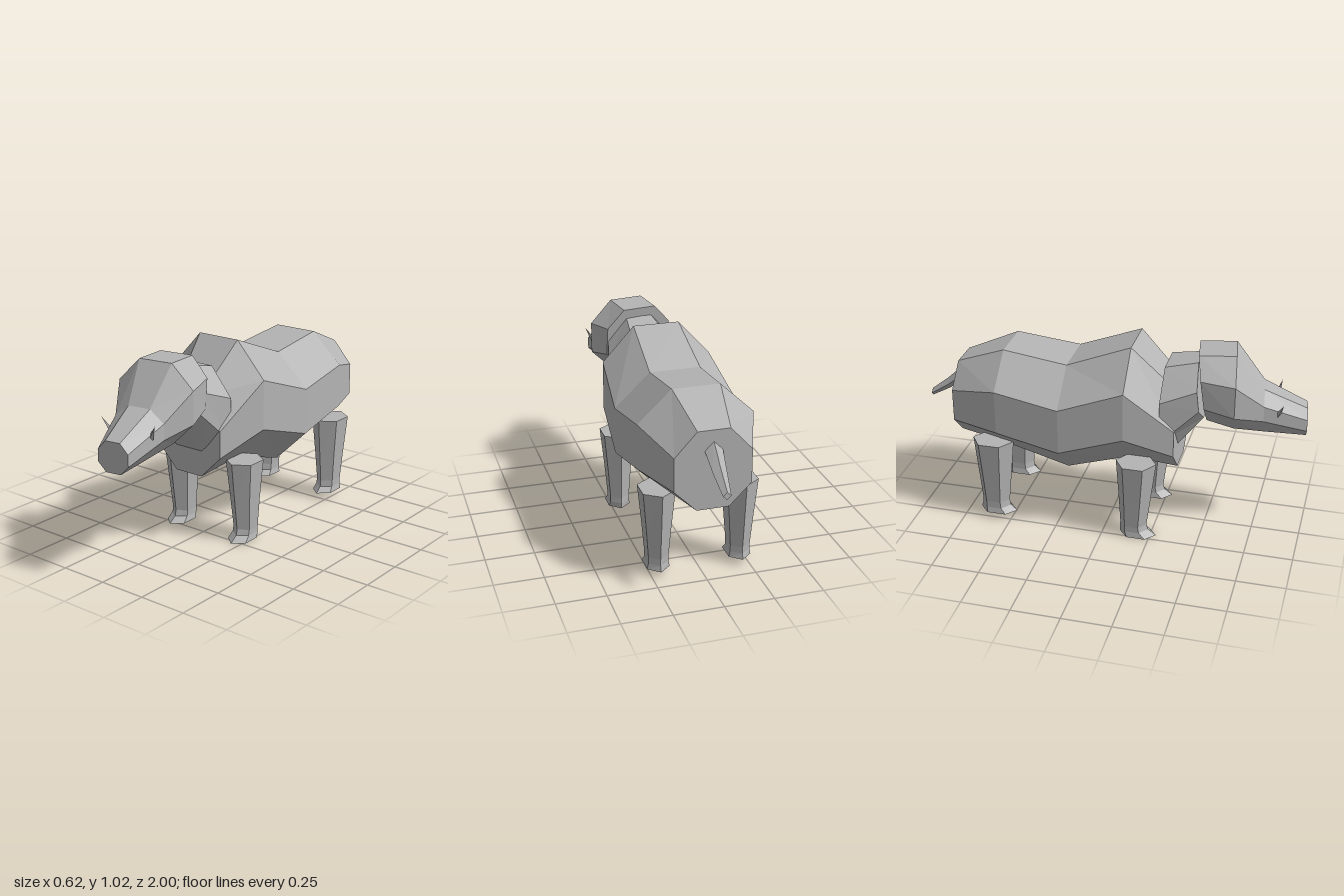
import * as THREE from 'three';

// Closed, faceted skin over a series of matching rings (counter-clockwise about the loft direction)
function loft(rings) {
  const n = rings[0].length, pos = [];
  const tri = (a, b, c) => pos.push(...a, ...b, ...c);
  for (let i = 0; i < rings.length - 1; i++) {
    for (let j = 0; j < n; j++) {
      const k = (j + 1) % n, r = rings[i], s = rings[i + 1];
      tri(r[j], r[k], s[k]);
      tri(r[j], s[k], s[j]);
    }
  }
  const first = rings[0], last = rings[rings.length - 1];
  for (let j = 1; j < n - 1; j++) {
    tri(first[0], first[j + 1], first[j]);
    tri(last[0], last[j], last[j + 1]);
  }
  const g = new THREE.BufferGeometry();
  g.setAttribute('position', new THREE.Float32BufferAttribute(pos, 3));
  g.computeVertexNormals();
  return g;
}

// Eight-sided cross-section; lean pushes the lower points forward
function octagon([z, top, upper, lower, bottom, w, tw, lean = 0]) {
  return [[w, lower], [w, upper], [tw, top], [-tw, top], [-w, upper], [-w, lower], [-tw, bottom], [tw, bottom]]
    .map(([x, y]) => [x, y, z + (top - y) * lean]);
}

// Six-sided leg cross-section with corners pointing forward and back
function hexagon([y, z, halfWidth, halfLength]) {
  return [[0, 1], [1, 0.5], [1, -0.5], [0, -1], [-1, -0.5], [-1, 0.5]]
    .map(([a, b]) => [a * halfWidth, y, z + b * halfLength]);
}

export function createModel() {
  const model = new THREE.Group();
  const hide = new THREE.MeshStandardMaterial({ color: 0xb4b4b4 });
  hide.name = 'greyHide';
  hide.flatShading = true;

  const add = (name, geometry, parent = model) => {
    const mesh = new THREE.Mesh(geometry, hide);
    mesh.name = name;
    parent.add(mesh);
    return mesh;
  };

  // Trunk, rump to chest: z, top, upper side, lower side, bottom, half width, half top width
  add('body', loft([
    [-0.81, 0.82, 0.70, 0.53, 0.42, 0.19, 0.08],
    [-0.545, 0.93, 0.77, 0.54, 0.39, 0.29, 0.12],
    [-0.21, 0.89, 0.72, 0.48, 0.305, 0.31, 0.13],
    [0.12, 1.02, 0.84, 0.585, 0.405, 0.285, 0.12],
    [0.36, 0.78, 0.62, 0.48, 0.36, 0.20, 0.08],
  ].map(octagon)));

  // Neck, sunk into the chest
  add('neck', loft([
    [0.285, 0.92, 0.775, 0.55, 0.40, 0.21, 0.09],
    [0.45, 0.955, 0.84, 0.735, 0.655, 0.17, 0.07, 0.12],
  ].map(octagon)));

  // Head, turned slightly to its left
  const headGroup = new THREE.Group();
  headGroup.name = 'headGroup';
  headGroup.position.z = 0.45;
  headGroup.rotation.y = 0.15;
  model.add(headGroup);
  add('head', loft([
    [-0.01, 1.003, 0.905, 0.755, 0.65, 0.18, 0.09, 0.14],
    [0.175, 1.008, 0.89, 0.725, 0.61, 0.207, 0.09],
    [0.32, 0.82, 0.76, 0.68, 0.585, 0.135, 0.06],
    [0.54, 0.717, 0.67, 0.61, 0.565, 0.083, 0.04],
  ].map(octagon)), headGroup);

  // Tusks, thin spikes curving out of the snout
  const up = new THREE.Vector3(0, 1, 0);
  for (const side of [1, -1]) {
    const base = new THREE.Vector3(side * 0.1, 0.69, 0.385);
    const tip = new THREE.Vector3(side * 0.148, 0.78, 0.415);
    const dir = tip.clone().sub(base);
    const tusk = add(side > 0 ? 'leftTusk' : 'rightTusk', new THREE.ConeGeometry(0.016, dir.length(), 4), headGroup);
    tusk.position.copy(base).add(tip).multiplyScalar(0.5);
    tusk.quaternion.setFromUnitVectors(up, dir.normalize());
  }

  // Drooping diamond-section tail: z, centre height, half height, half width
  add('tail', loft([
    [-1, 0.577, 0.02, 0.02],
    [-0.9, 0.645, 0.032, 0.034],
    [-0.79, 0.735, 0.047, 0.046],
  ].map(([z, y, h, w]) => [[w, y, z], [0, y + h, z], [-w, y, z], [0, y - h, z]])));

  // Legs with flared hooves: y, z, half width, half length
  const frontLeg = loft([
    [0, 0.185, 0.057, 0.096],
    [0.03, 0.163, 0.051, 0.075],
    [0.06, 0.16, 0.051, 0.07],
    [0.22, 0.165, 0.062, 0.085],
    [0.425, 0.17, 0.08, 0.105],
  ].map(hexagon));
  const hindLeg = loft([
    [0.035, -0.575, 0.057, 0.1],
    [0.065, -0.588, 0.051, 0.077],
    [0.1, -0.59, 0.051, 0.075],
    [0.25, -0.59, 0.062, 0.09],
    [0.455, -0.59, 0.08, 0.11],
  ].map(hexagon));
  for (const side of [1, -1]) {
    const label = side > 0 ? 'left' : 'right';
    add(label + 'FrontLeg', frontLeg).position.x = side * 0.205;
    add(label + 'HindLeg', hindLeg).position.x = side * 0.21;
  }
  return model;
}
